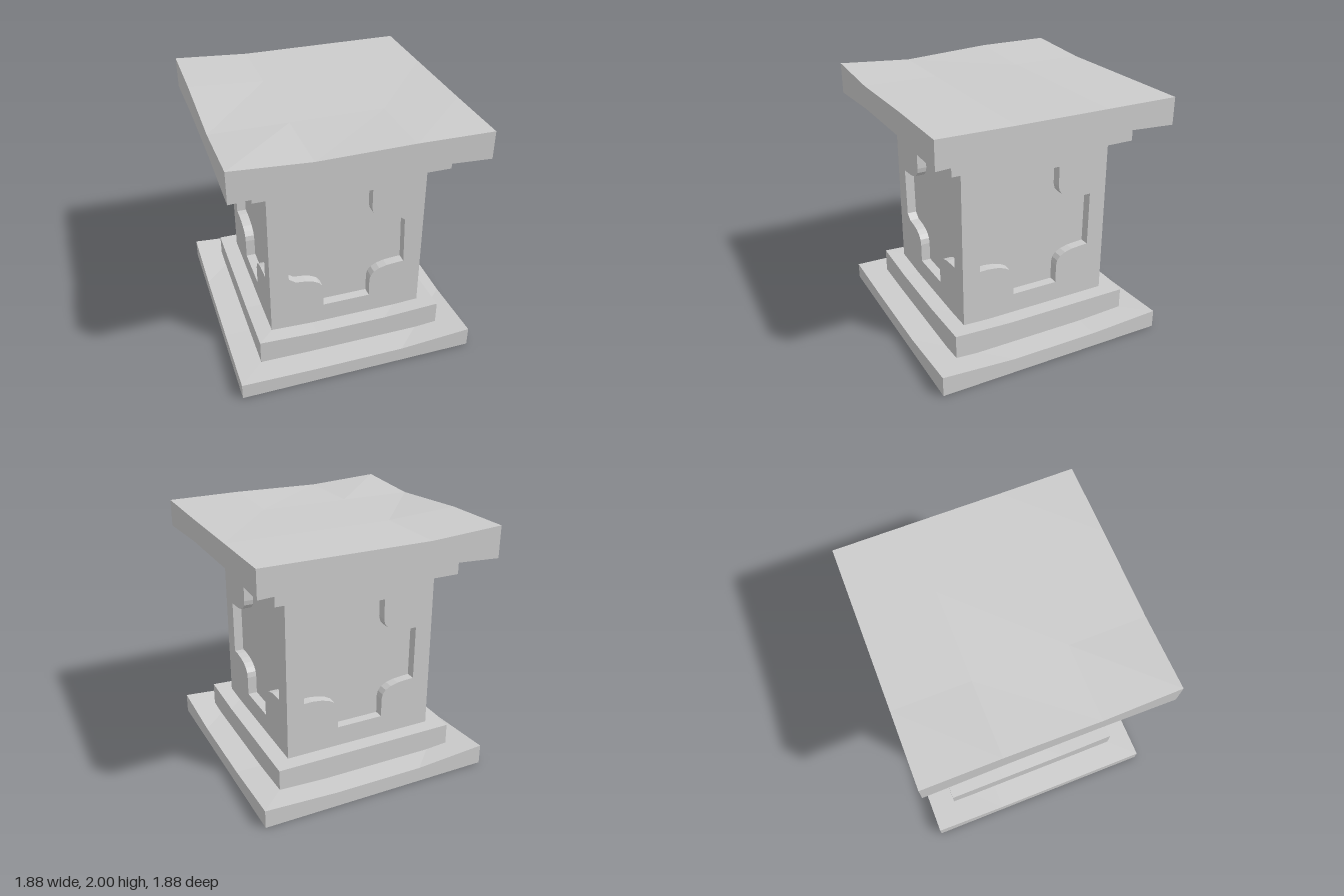
import * as THREE from 'three';

const material = new THREE.MeshStandardMaterial({ color: 0xcccccc, flatShading: true });

function addMesh(parent, name, geometry) {
  const mesh = new THREE.Mesh(geometry, material);
  mesh.name = name;
  parent.add(mesh);
  return mesh;
}

// Square slab on a 3 x 3 grid; top and bottom are heights or 4 x 4 tables (rows back to front, columns -x to +x)
function wornSlab(half, bottom, top) {
  const g = new THREE.BoxGeometry(3, 2, 3, 3, 1, 3);
  const p = g.attributes.position;
  const steps = [-half, -half * 0.38, half * 0.38, half];
  for (let i = 0; i < p.count; i++) {
    const col = Math.round(p.getX(i) + 1.5);
    const row = Math.round(p.getZ(i) + 1.5);
    const level = p.getY(i) > 0 ? top : bottom;
    p.setXYZ(i, steps[col], Array.isArray(level) ? level[row][col] : level, steps[row]);
  }
  const flat = g.toNonIndexed();
  flat.computeVertexNormals();
  return flat;
}

// Level table whose four corners differ from the middle
const corners = (mid, backLeft, backRight, frontLeft, frontRight) => [
  [backLeft, mid, mid, backRight],
  [mid, mid, mid, mid],
  [mid, mid, mid, mid],
  [frontLeft, mid, mid, frontRight],
];

// Cross-shaped panel outline with scooped corners; chipped cuts two opposite corners
function panelOutline(chipped) {
  const a = 0.19, w = 0.475, yTop = 1.45, yBottom = 0.46, yHigh = 1.17, yLow = 0.735;
  const s = new THREE.Path();
  s.moveTo(-a, yTop);
  s.lineTo(-a, 1.29);
  s.quadraticCurveTo(-a, yHigh + 0.01, -0.41, yHigh + 0.005);
  s.lineTo(-w, yHigh);
  if (chipped) {
    s.lineTo(-0.465, 0.78);
  } else {
    s.lineTo(-w, yLow);
  }
  s.lineTo(-0.41, yLow + 0.003);
  s.quadraticCurveTo(-a, yLow - 0.01, -a, 0.61);
  s.lineTo(-a, yBottom);
  s.lineTo(a, yBottom);
  s.lineTo(a, 0.61);
  s.quadraticCurveTo(a, yLow - 0.01, 0.41, yLow - 0.003);
  s.lineTo(w - 0.003, yLow);
  s.lineTo(chipped ? 0.46 : w, chipped ? 1.13 : yHigh);
  s.lineTo(0.41, yHigh);
  s.quadraticCurveTo(a, yHigh + 0.01, a, 1.29);
  s.lineTo(a, yTop);
  s.closePath();
  return s;
}

export function createModel() {
  const model = new THREE.Group();
  model.name = 'pedestal';

  // Stepped foot
  addMesh(model, 'basePlinth', wornSlab(0.94, 0, corners(0.12, 0.16, 0.145, 0.13, 0.16)));
  addMesh(model, 'baseStep', wornSlab(0.74, 0.1, corners(0.3, 0.3, 0.3, 0.32, 0.32)));

  // Shaft: a core behind four pierced facing plates
  const shaft = new THREE.Group();
  shaft.name = 'shaft';
  model.add(shaft);
  const half = 0.615, depth = 0.075, y0 = 0.29, y1 = 1.61;
  const core = new THREE.BoxGeometry(2 * (half - depth), y1 - y0, 2 * (half - depth));
  core.translate(0, (y0 + y1) / 2, 0);
  addMesh(shaft, 'shaftCore', core);
  ['frontPanel', 'leftPanel', 'backPanel', 'rightPanel'].forEach((name, i) => {
    const w = i % 2 ? half - depth : half; // side plates fit between front and back
    const face = new THREE.Shape();
    face.moveTo(-w, y0);
    face.lineTo(w, y0);
    face.lineTo(w, y1);
    face.lineTo(-w, y1);
    face.closePath();
    face.holes.push(panelOutline(i === 0));
    const plate = new THREE.ExtrudeGeometry(face, { depth, bevelEnabled: false, curveSegments: 5 });
    plate.translate(0, 0, half - depth);
    addMesh(shaft, name, plate).rotation.y = (i * Math.PI) / 2;
  });

  // Stepped cap with an uneven top
  addMesh(model, 'capStep', wornSlab(0.74, 1.6, 1.79));
  addMesh(model, 'capSlab', wornSlab(0.94, corners(1.785, 1.755, 1.755, 1.755, 1.755), [
    [2.0, 1.965, 1.965, 1.965],
    [2.0, 1.965, 1.965, 1.965],
    [1.96, 1.96, 1.96, 1.965],
    [2.0, 1.965, 1.975, 1.97],
  ]));
  return model;
}
